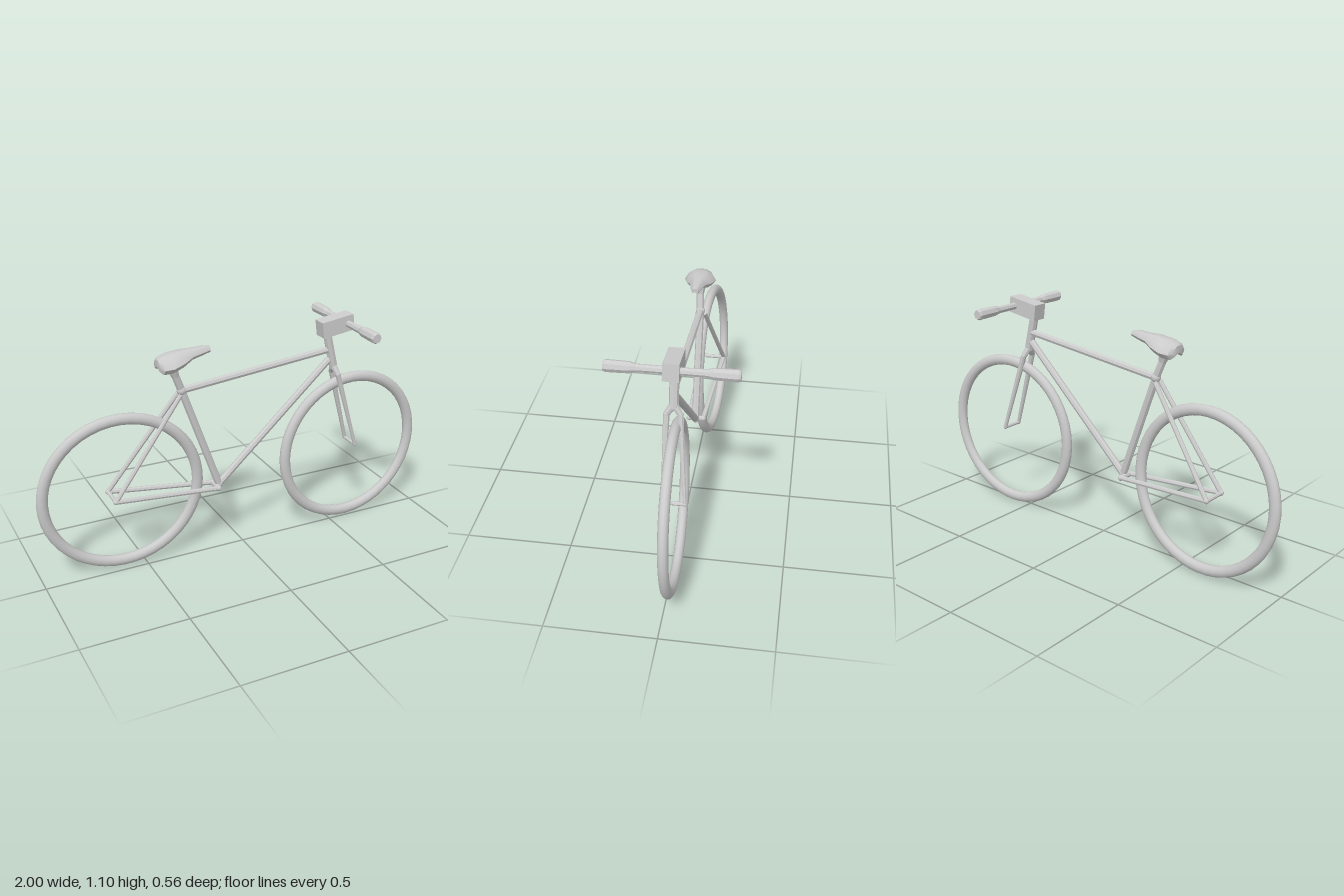
import * as THREE from 'three';
import { toCreasedNormals } from 'three/addons/utils/BufferGeometryUtils.js';

const smooth = new THREE.MeshStandardMaterial({ color: 0xcccccc });
const flat = new THREE.MeshStandardMaterial({ color: 0xcccccc, flatShading: true });
const V = (p) => new THREE.Vector3(...p);

export function createModel() {
  const bike = new THREE.Group();
  bike.name = 'bicycle';

  function add(name, geometry, material = smooth, parent = bike) {
    const mesh = new THREE.Mesh(geometry, material);
    mesh.name = name;
    parent.add(mesh);
    return mesh;
  }

  // Straight tube between two points, optionally tapered
  function rod(name, a, b, r, r2 = r) {
    const from = V(a), to = V(b), dir = to.clone().sub(from);
    const mesh = add(name, new THREE.CylinderGeometry(r2, r, dir.length(), 8), flat);
    mesh.position.copy(from).add(to).multiplyScalar(0.5);
    mesh.quaternion.setFromUnitVectors(new THREE.Vector3(0, 1, 0), dir.normalize());
    return mesh;
  }

  // Rounded lug where tubes meet
  function joint(name, p, r) {
    add(name, new THREE.SphereGeometry(r, 10, 8)).position.set(...p);
  }

  // Wheels: bare tyres, each turned and leaning slightly
  function wheel(name, x, z, lean, turn) {
    const mesh = add(name, new THREE.TorusGeometry(0.369, 0.027, 12, 48));
    mesh.scale.z = 0.85;
    mesh.position.set(x, 0.402, z);
    mesh.rotation.set(lean, turn, 0);
  }
  wheel('rearWheel', -0.602, -0.03, 0.046, -0.054);
  wheel('frontWheel', 0.602, -0.015, 0.01, 0.027);

  // Main triangle
  const seatLug = [-0.305, 0.86, -0.003], crank = [-0.125, 0.348, -0.005];
  rod('seatTube', crank, seatLug, 0.018);
  rod('topTube', seatLug, [0.455, 0.938, 0], 0.017);
  rod('downTube', crank, [0.462, 0.89, 0], 0.017);
  joint('seatLug', seatLug, 0.023);
  joint('crankLug', crank, 0.02);

  // Rear triangle: paired stays joined by cross bars
  const axleZ = [0.03, -0.085], crankZ = [0.028, -0.042], topZ = [0.013, -0.022];
  for (const i of [0, 1]) {
    const side = i ? 'right' : 'left';
    const end = [-0.652, 0.388, axleZ[i]], low = [-0.14, 0.342, crankZ[i]];
    rod(side + 'SeatStay', end, [-0.315, 0.845, topZ[i]], 0.011);
    rod(side + 'ChainStay', end, low, 0.012);
    joint(side + 'RearDropout', end, 0.013);
    joint(side + 'ChainStayEnd', low, 0.014);
  }
  rod('rearAxleBar', [-0.652, 0.388, axleZ[0]], [-0.652, 0.388, axleZ[1]], 0.01);
  rod('crankBar', [-0.14, 0.342, crankZ[0]], [-0.14, 0.342, crankZ[1]], 0.013);

  // Steering column and fork
  rod('headTube', [0.485, 0.845, 0.003], [0.443, 1.02, 0.003], 0.021);
  const crownZ = [0.033, -0.027], tipZ = [0.036, -0.06];
  for (const i of [0, 1]) {
    const side = i ? 'right' : 'left';
    const shoulder = [0.494, 0.815, crownZ[i]], tip = [0.608, 0.425, tipZ[i]];
    rod(side + 'ForkCrown', [0.482, 0.86, 0.003], shoulder, 0.018, 0.014);
    rod(side + 'ForkLeg', shoulder, tip, 0.014, 0.009);
    joint(side + 'ForkShoulder', shoulder, 0.014);
    joint(side + 'ForkTip', tip, 0.01);
  }
  rod('frontAxleBar', [0.608, 0.425, tipZ[0]], [0.608, 0.425, tipZ[1]], 0.009);

  // Stem block
  const stem = add('stem', new THREE.BoxGeometry(0.168, 0.078, 0.07), flat);
  stem.position.set(0.487, 1.058, 0);
  stem.rotation.z = 0.14;

  // Handlebar with thicker grips, turned as one profile
  const half = [[0, 0.28], [0.022, 0.28], [0.027, 0.27], [0.026, 0.2], [0.025, 0.17], [0.018, 0.145], [0.017, 0.05]];
  const profile = [...half, ...half.map(([r, h]) => [r, -h]).reverse()]
    .reverse().map((p) => new THREE.Vector2(...p));
  const bar = add('handlebar', new THREE.LatheGeometry(profile, 8), flat);
  bar.rotation.x = Math.PI / 2;
  bar.position.set(0.54, 1.063, 0);

  // Seat post flaring into the saddle
  rod('seatPost', seatLug, [-0.34, 0.95, 0.003], 0.018);
  rod('saddleClamp', [-0.335, 0.935, 0.003], [-0.353, 1.0, 0.004], 0.018, 0.032);

  // Saddle: sections [x, half width, top, bottom] around a ring with a hollow underside
  const ring = [[1, 0.35], [0.75, 0.78], [0.35, 1], [-0.35, 1], [-0.75, 0.78], [-1, 0.35], [-0.7, 0], [0, 0.3], [0.7, 0]];
  const sections = [
    [-0.42, 0.04, 1.025, 0.98], [-0.405, 0.062, 1.036, 0.967], [-0.365, 0.076, 1.046, 0.972],
    [-0.31, 0.061, 1.053, 0.988], [-0.26, 0.036, 1.054, 1.01], [-0.2, 0.025, 1.057, 1.022], [-0.168, 0.015, 1.052, 1.028],
  ];
  const pos = [], idx = [], n = ring.length, last = sections.length - 1;
  sections.forEach(([x, w, top, bot], i) => {
    ring.forEach(([z, y], j) => {
      pos.push(x, bot + y * (top - bot), 0.005 + z * w);
      const a = i * n + j, c = i * n + (j + 1) % n;
      if (i < last) idx.push(a, a + n, c, a + n, c + n, c);
    });
  });
  for (const i of [0, last]) {
    const [x, , top, bot] = sections[i], centre = pos.length / 3;
    pos.push(x, (top + bot) / 2, 0.005);
    for (let j = 0; j < n; j++) {
      const a = i * n + j, c = i * n + (j + 1) % n;
      idx.push(centre, ...(i ? [c, a] : [a, c]));
    }
  }
  const saddle = new THREE.BufferGeometry();
  saddle.setAttribute('position', new THREE.Float32BufferAttribute(pos, 3));
  saddle.setIndex(idx);
  add('saddle', toCreasedNormals(saddle, 0.8));

  return bike;
}
